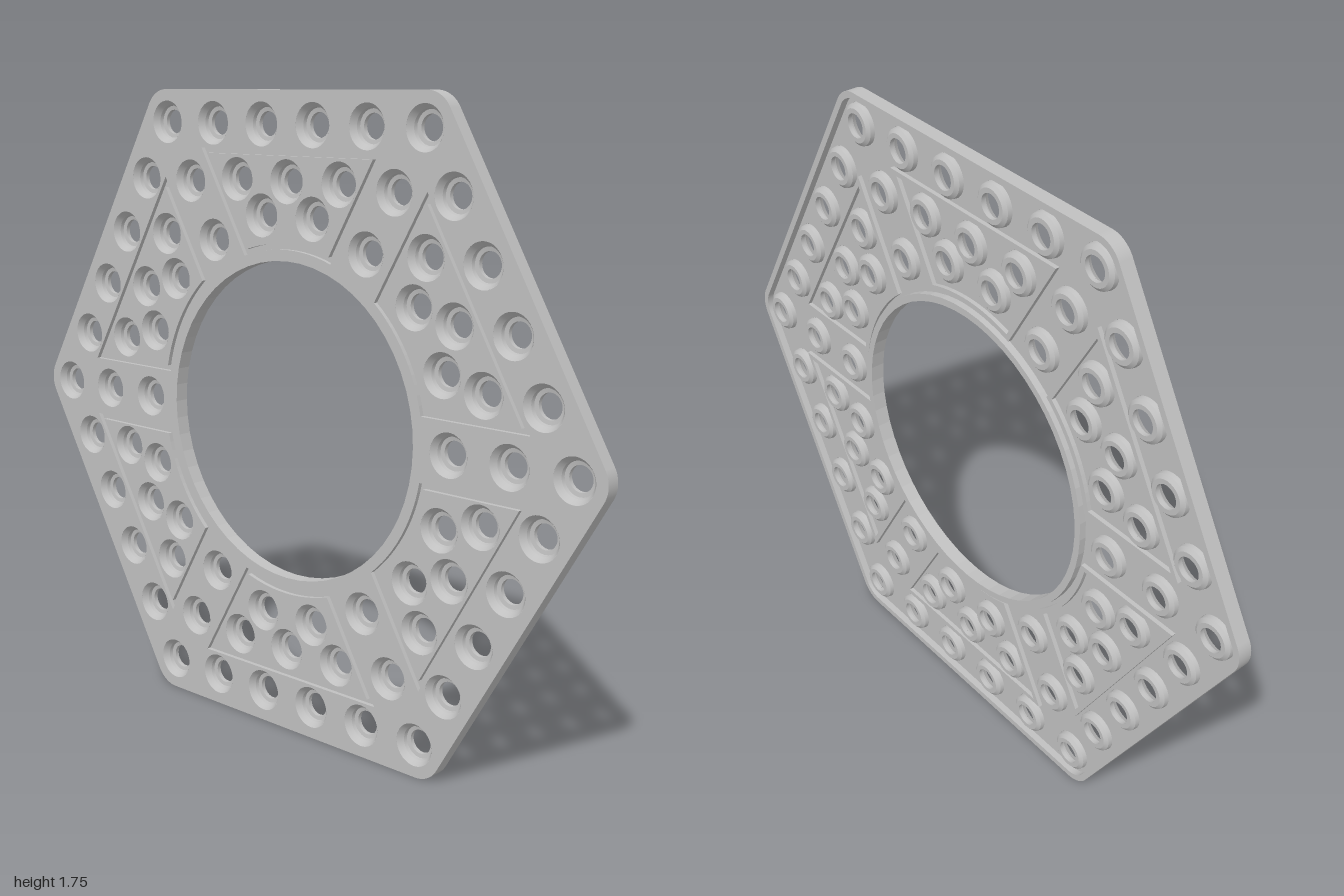
import * as THREE from 'three';

const APOTHEM = 0.877, BORE = 0.435, CUP = 0.058, SIXTH = Math.PI / 3;

// Hexagon with flat top and rounded corners
function hexagon(Type, apothem, round) {
  const path = new Type();
  const inner = (apothem - round) / Math.cos(SIXTH / 2);
  for (let k = 0; k < 6; k++) {
    const a = k * SIXTH;
    path.absarc(inner * Math.cos(a), inner * Math.sin(a), round, a - SIXTH / 2, a + SIXTH / 2, false);
  }
  path.closePath();
  return path;
}

function circle(Type, x, y, r) {
  const path = new Type();
  path.absarc(x, y, r, 0, Math.PI * 2, false);
  return path;
}

// Trapezoid between two spokes, with a concentric arc along its inner side
function panel(Type, k, gap, top, radius) {
  const t0 = Math.sqrt(radius * radius - gap * gap);
  const t1 = (top - gap / 2) / Math.cos(SIXTH / 2);
  const at = t => new THREE.Vector2(t * 0.5 - gap * 0.866, t * 0.866 + gap * 0.5);
  const low = at(t0), high = at(t1), pts = [];
  pts.push(high, new THREE.Vector2(-high.x, high.y));
  const half = Math.atan2(low.x, low.y);
  for (let i = 0; i <= 12; i++) {
    const a = -half + (2 * half * i) / 12;
    pts.push(new THREE.Vector2(radius * Math.sin(a), radius * Math.cos(a)));
  }
  const origin = new THREE.Vector2();
  return new Type(pts.map(p => p.clone().rotateAround(origin, k * SIXTH)));
}
const outerPanel = (Type, k) => panel(Type, k, 0.085, 0.722, 0.465);
const innerPanel = (Type, k) => panel(Type, k, 0.1, 0.708, 0.48);

// Hole centres of one sixth: those on the plate and those inside the panel
const frameHoles = [[-0.273, 0.473], [-0.364, 0.63], [-0.455, 0.788],
  [-0.273, 0.788], [-0.091, 0.788], [0.091, 0.788], [0.273, 0.788]];
const panelHoles = [[-0.182, 0.642], [0, 0.642], [0.182, 0.642], [-0.091, 0.55], [0.091, 0.55]];
const turn = ([x, y], k) => {
  const c = Math.cos(k * SIXTH), s = Math.sin(k * SIXTH);
  return [x * c - y * s, x * s + y * c];
};

export function createModel() {
  const model = new THREE.Group();
  model.name = 'perforatedHexPlate';
  const grey = new THREE.MeshStandardMaterial({ color: 0xc0c0c0 });
  grey.name = 'light grey';

  const body = new THREE.Group();
  body.name = 'plate';
  body.position.y = APOTHEM;
  model.add(body);

  const slab = (name, shape, z0, z1) => {
    const geo = new THREE.ExtrudeGeometry(shape, { depth: z1 - z0, bevelEnabled: false, curveSegments: 28 });
    geo.translate(0, 0, z0);
    const mesh = new THREE.Mesh(geo, grey);
    mesh.name = name;
    body.add(mesh);
  };

  const front = hexagon(THREE.Shape, APOTHEM, 0.08);
  const web = hexagon(THREE.Shape, APOTHEM, 0.08);
  const rim = hexagon(THREE.Shape, APOTHEM, 0.08);
  rim.holes.push(hexagon(THREE.Path, APOTHEM - 0.018, 0.065));
  for (const s of [front, web]) s.holes.push(circle(THREE.Path, 0, 0, BORE));
  const collar = circle(THREE.Shape, 0, 0, BORE + 0.02);
  collar.holes.push(circle(THREE.Path, 0, 0, BORE));

  // Cup on the front, raised boss on the back, open through the middle
  const cupProfile = [[0.058, 0.02], [0.046, 0.004], [0.044, -0.006], [0.033, -0.008], [0.033, -0.02],
    [0.046, -0.02], [0.056, -0.012], [0.058, 0]];
  const cupPoints = [];
  cupProfile.forEach((p, i) => {
    // doubled points keep the edges crisp
    cupPoints.push(new THREE.Vector2(...p));
    if (i > 0 && i < cupProfile.length - 1) cupPoints.push(new THREE.Vector2(p[0] + 1e-5, p[1]));
  });
  const cupGeo = new THREE.LatheGeometry(cupPoints, 28);
  cupGeo.rotateX(Math.PI / 2);
  const cupMat = grey.clone();
  cupMat.name = 'light grey cups';
  cupMat.side = THREE.DoubleSide;

  for (let k = 0; k < 6; k++) {
    const face = innerPanel(THREE.Shape, k);
    front.holes.push(outerPanel(THREE.Path, k));
    const drill = (list, target) => list.forEach(p => {
      const [x, y] = turn(p, k);
      target.holes.push(circle(THREE.Path, x, y, CUP));
      web.holes.push(circle(THREE.Path, x, y, CUP));
      const cup = new THREE.Mesh(cupGeo, cupMat);
      cup.name = 'holeCup';
      cup.position.set(x, y, 0);
      body.add(cup);
    });
    drill(frameHoles, front);
    drill(panelHoles, face);
    slab('panelFace', face, 0.008, 0.02);

    // Rib behind each panel groove
    const rib = outerPanel(THREE.Shape, k);
    rib.holes.push(innerPanel(THREE.Path, k));
    slab('panelRib', rib, -0.012, 0);
  }

  slab('frontLayer', front, 0.008, 0.02);
  slab('web', web, 0, 0.008);
  slab('outerRim', rim, -0.02, 0);
  slab('boreCollar', collar, -0.02, 0);
  return model;
}
